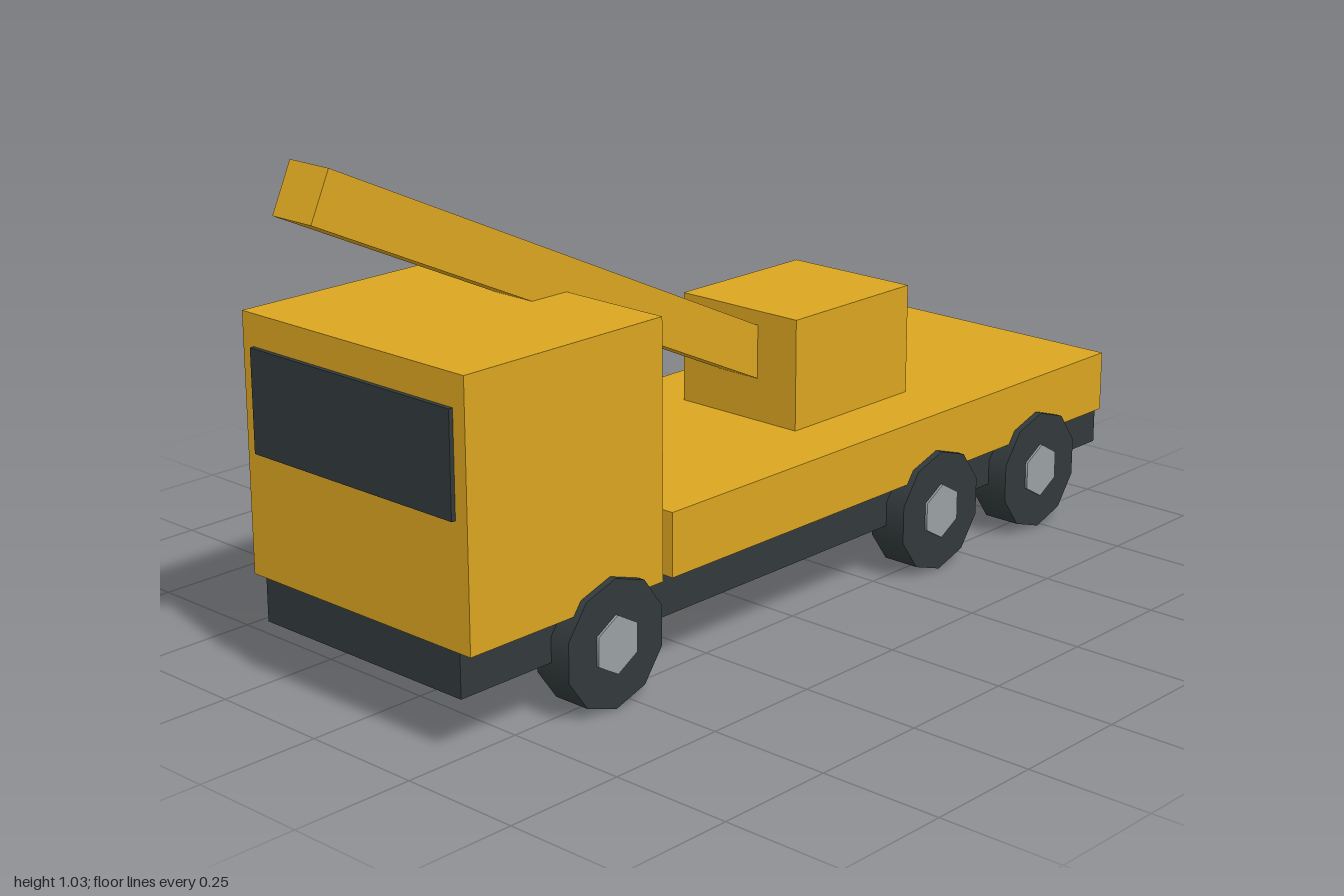
import * as THREE from 'three';

export function createModel() {
  const truck = new THREE.Group();
  truck.name = 'craneTruck';

  const material = (name, color) => {
    const m = new THREE.MeshStandardMaterial({ color });
    m.name = name;
    return m;
  };
  const yellow = material('yellowPaint', 0xdaa520);
  const dark = material('darkGrey', 0x323a3b);
  const steel = material('hubSteel', 0x9aa0a3);

  const add = (name, geometry, mat, parent = truck) => {
    const mesh = new THREE.Mesh(geometry, mat);
    mesh.name = name;
    parent.add(mesh);
    return mesh;
  };
  // Box centred on x, given its width and its y and z limits
  const block = (name, width, y0, y1, z0, z1, mat) => {
    const mesh = add(name, new THREE.BoxGeometry(width, y1 - y0, z1 - z0), mat);
    mesh.position.set(0, (y0 + y1) / 2, (z0 + z1) / 2);
    return mesh;
  };

  // Body
  block('chassis', 0.52, 0.115, 0.202, -1, 0.885, dark);
  block('cab', 0.58, 0.202, 0.705, 0.41, 0.888, yellow);
  block('windshield', 0.522, 0.443, 0.643, 0.888, 0.897, dark);
  block('deck', 0.58, 0.202, 0.329, -0.975, 0.385, yellow);
  block('turret', 0.3, 0.329, 0.557, -0.47, -0.12, yellow);

  // Boom, rising forward over the cab
  const boom = add('boom', new THREE.BoxGeometry(0.1, 0.1, 1.636), yellow);
  boom.position.set(0, 0.639, 0.238);
  boom.rotation.x = THREE.MathUtils.degToRad(-25);

  // Wheels: ten-sided tyres with six-sided hubs, a corner pointing up
  const disc = (radius, width, sides) =>
    new THREE.CylinderGeometry(radius, radius, width, sides, 1, false, Math.PI / 2).rotateZ(Math.PI / 2);
  const tyreGeometry = disc(0.126, 0.08, 10);
  const hubGeometry = disc(0.057, 0.09, 6);
  for (const side of [-1, 1]) {
    for (const z of [0.548, -0.396, -0.737]) {
      const wheel = new THREE.Group();
      wheel.name = side > 0 ? 'leftWheel' : 'rightWheel';
      wheel.position.set(side * 0.264, 0.126, z);
      add('tyre', tyreGeometry, dark, wheel);
      add('hub', hubGeometry, steel, wheel);
      truck.add(wheel);
    }
  }

  return truck;
}
